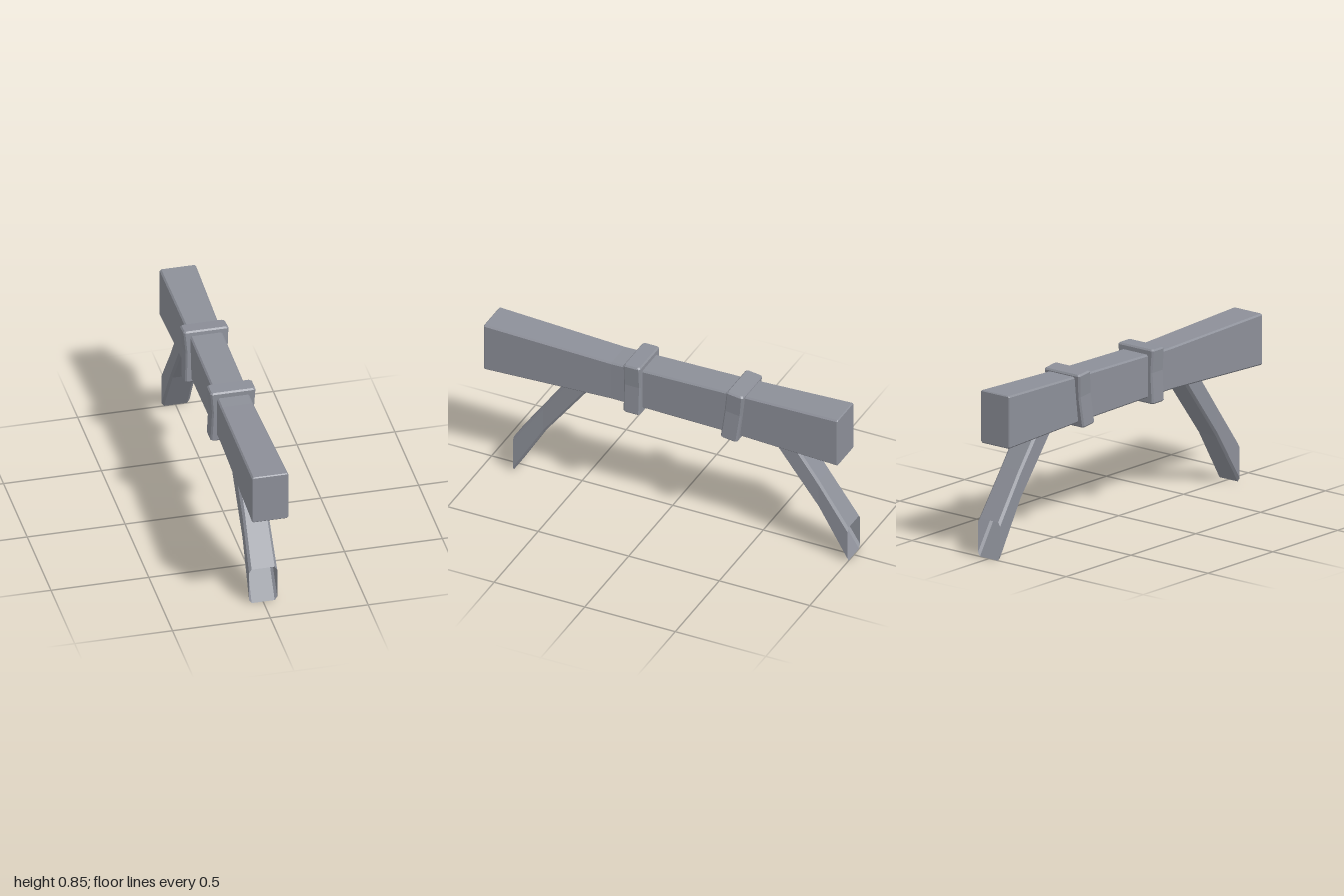
import * as THREE from 'three';

const slate = new THREE.MeshStandardMaterial({ color: 0x8c8f98, flatShading: true });
const slateOpen = new THREE.MeshStandardMaterial({ color: 0x8c8f98, flatShading: true, side: THREE.DoubleSide });

// Chamfered rectangle in the xy plane, counter-clockwise
function ring([z, w, y0, y1, cx, cy = cx]) {
  return [
    [w, y0 + cy, z], [w, y1 - cy, z], [w - cx, y1, z], [cx - w, y1, z],
    [-w, y1 - cy, z], [-w, y0 + cy, z], [cx - w, y0, z], [w - cx, y0, z],
  ];
}

// Skin stations [z, halfWidth, bottom, top, chamferX, chamferY] listed by rising z
function loft(stations, capped = true) {
  const points = stations.map(ring).flat(2);
  const index = [];
  for (let s = 0; s < stations.length - 1; s++) {
    for (let i = 0; i < 8; i++) {
      const a = s * 8 + i, b = s * 8 + (i + 1) % 8;
      index.push(a, b, b + 8, a, b + 8, a + 8);
    }
  }
  if (capped) {
    const e = (stations.length - 1) * 8;
    for (let i = 1; i < 7; i++) index.push(0, i + 1, i, e, e + i, e + i + 1);
  }
  const indexed = new THREE.BufferGeometry();
  indexed.setAttribute('position', new THREE.Float32BufferAttribute(points, 3));
  indexed.setIndex(index);
  const geometry = indexed.toNonIndexed();
  geometry.computeVertexNormals();
  return geometry;
}

function add(parent, name, geometry, material = slate) {
  const mesh = new THREE.Mesh(geometry, material);
  mesh.name = name;
  parent.add(mesh);
  return mesh;
}

export function createModel() {
  const model = new THREE.Group();
  model.name = 'bracedBeam';

  // Beam, pinched toward the middle
  add(model, 'beam', loft([
    [-0.955, 0.088, 0.578, 0.84, 0.003],
    [-0.95, 0.093, 0.572, 0.845, 0.008],
    [-0.37, 0.083, 0.588, 0.828, 0.008],
    [0.3, 0.083, 0.598, 0.816, 0.008],
    [0.995, 0.093, 0.575, 0.841, 0.008],
    [1, 0.088, 0.58, 0.836, 0.003],
  ]));

  // Straps, waisted at mid height
  const strapGeometry = loft([
    [-0.142, 0.108, -0.039, 0.039, 0.008],
    [-0.134, 0.115, -0.046, 0.046, 0.008],
    [0.02, 0.107, -0.047, 0.047, 0.008],
    [0.132, 0.115, -0.046, 0.046, 0.008],
    [0.14, 0.108, -0.039, 0.039, 0.008],
  ]).rotateX(-Math.PI / 2);
  add(model, 'frontStrap', strapGeometry).position.set(0, 0.708, 0.173);
  const backStrap = add(model, 'backStrap', strapGeometry);
  backStrap.position.set(0, 0.709, -0.38);
  backStrap.rotation.x = -0.12;

  // Hollow diagonal braces, cut vertically at the open foot
  const brace = [
    [0.43, 0.071, 0.605, 0.78, 0.014, 0.018],
    [0.684, 0.066, 0.27, 0.43, 0.012, 0.018],
    [0.848, 0.072, 0, 0.198, 0.013, 0.02],
  ];
  add(model, 'frontBrace', loft(brace, false), slateOpen);
  const mirrored = brace.map(([z, ...rest]) => [-z - 0.152, ...rest]).reverse();
  add(model, 'backBrace', loft(mirrored, false), slateOpen);

  return model;
}
